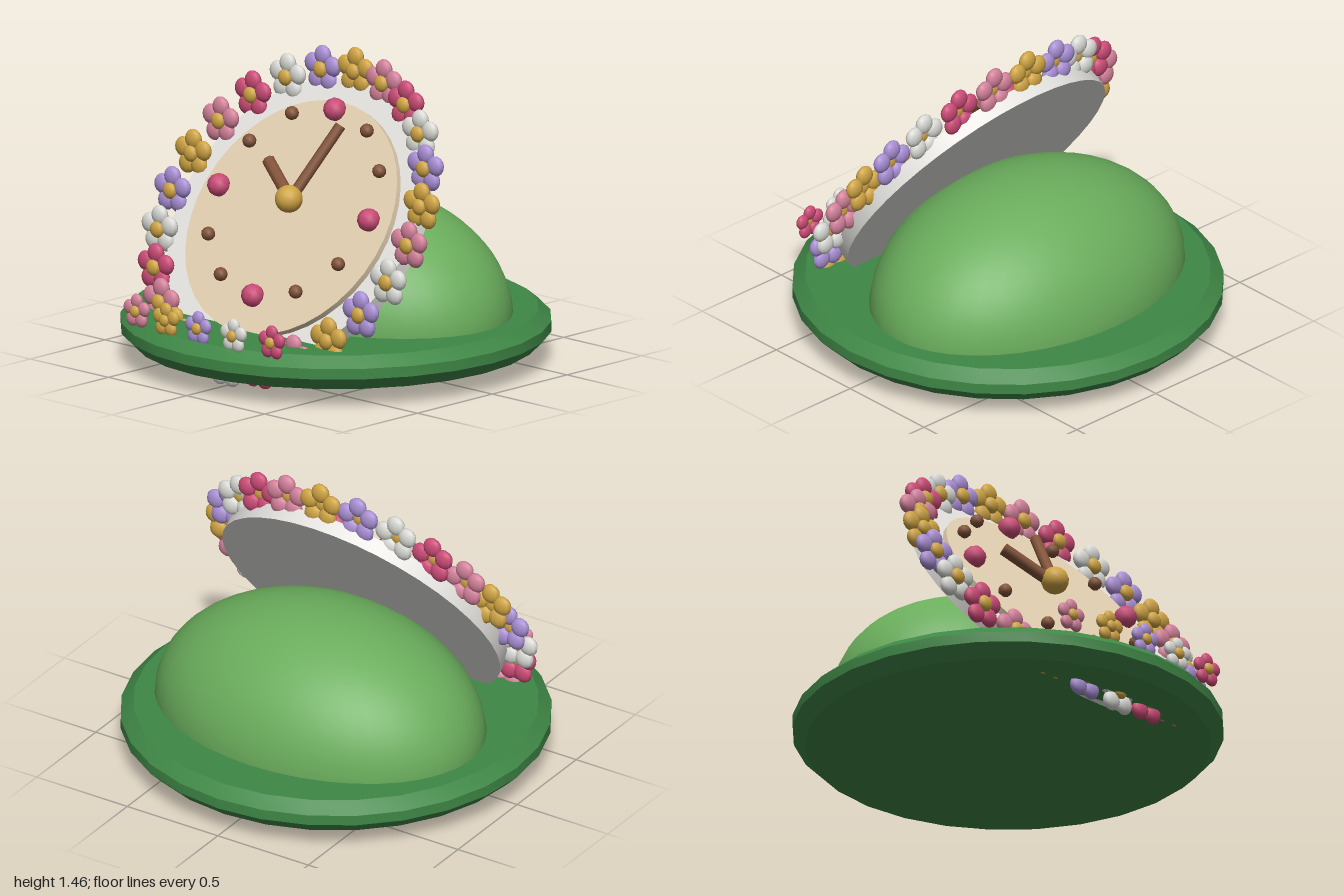
import * as THREE from 'three';
import { mergeGeometries, toCreasedNormals } from 'three/addons/utils/BufferGeometryUtils.js';

const material = (name, color) => {
  const m = new THREE.MeshStandardMaterial({ color });
  m.name = name;
  return m;
};

export function createModel() {
  const mats = {
    leaf: material('leaf green', 0x3f8746),
    moss: material('moss green', 0x6aad5c),
    rim: material('rim white', 0xe3e2de),
    cream: material('cream', 0xe2cfb0),
    brown: material('brown', 0x835338),
    rose: material('rose', 0xcb4b77),
    pink: material('pale pink', 0xd3819a),
    lilac: material('lilac', 0xa98fd4),
    gold: material('gold', 0xcfa443),
    white: material('petal white', 0xd9d9d5),
  };
  const model = new THREE.Group();
  model.name = 'flowerClock';

  const add = (parent, name, geometry, mat, x = 0, y = 0, z = 0) => {
    const mesh = new THREE.Mesh(geometry, mat);
    mesh.name = name;
    mesh.position.set(x, y, z);
    parent.add(mesh);
    return mesh;
  };

  // Bevelled round base
  const profile = [[0, 0.1], [0.94, 0.1], [1, 0.16], [1, 0.21], [0.94, 0.26], [0, 0.26]]
    .map(([r, y]) => new THREE.Vector2(r, y));
  add(model, 'base', toCreasedNormals(new THREE.LatheGeometry(profile, 28), 0.55), mats.leaf);

  // Oval half dome behind the dial
  const dome = new THREE.SphereGeometry(1, 40, 16, 0, Math.PI * 2, 0, Math.PI / 2);
  dome.scale(0.83, 0.56, 0.6);
  add(model, 'hill', dome, mats.moss, 0, 0.25, -0.13);

  // Tilted clock: local +z is the dial's normal
  const TILT = 0.61;
  const clock = new THREE.Group();
  clock.name = 'clock';
  clock.position.set(0, 0.737, 0.3);
  clock.rotation.x = -TILT;
  model.add(clock);

  const disc = (r, depth) => new THREE.CylinderGeometry(r, r, depth, 40).rotateX(Math.PI / 2);
  add(clock, 'rimDisc', disc(0.72, 0.075), mats.rim, 0, 0, -0.0675);
  add(clock, 'dial', disc(0.595, 0.04), mats.cream, 0, 0, -0.02);

  // Hour markers, larger at the quarters
  const HUB_Y = 0.066;
  const bigMarker = new THREE.SphereGeometry(0.055, 8, 6);
  const smallMarker = new THREE.SphereGeometry(0.033, 8, 6);
  for (let h = 0; h < 12; h++) {
    const a = h * Math.PI / 6;
    const quarter = h % 3 === 0;
    add(clock, quarter ? 'quarterMarker' : 'hourMarker', quarter ? bigMarker : smallMarker,
      quarter ? mats.rose : mats.brown, 0.48 * Math.sin(a), HUB_Y + 0.48 * Math.cos(a), 0.025);
  }

  // Hands start at the hub and turn clockwise
  const hand = (name, length, radius, angle, z) => {
    const geometry = new THREE.CylinderGeometry(radius, radius, length, 8).translate(0, length / 2, 0);
    add(clock, name, geometry, mats.brown, 0, HUB_Y, z).rotation.z = -angle;
  };
  hand('hourHand', 0.28, 0.031, -0.96, 0.05);
  hand('minuteHand', 0.415, 0.026, 0.25, 0.055);
  add(clock, 'hub', new THREE.SphereGeometry(0.065, 16, 12), mats.gold, 0, HUB_Y, 0.065);

  // Five-petalled flower, facing straight forward
  const petals = mergeGeometries(Array.from({ length: 5 }, (_, i) => {
    const a = Math.PI / 2 + i * Math.PI * 2 / 5;
    return new THREE.SphereGeometry(0.048, 10, 8)
      .scale(1, 1, 0.58)
      .translate(0.066 * Math.cos(a), 0.066 * Math.sin(a), 0);
  }));
  const heart = new THREE.SphereGeometry(0.04, 10, 8).scale(1, 1, 0.65);
  const flower = (mat, x, y, z, scale = 1) => {
    const g = new THREE.Group();
    g.name = 'flower';
    add(g, 'petals', petals, mat);
    add(g, 'flowerCentre', heart, mats.gold, 0, 0, 0.018);
    g.position.set(x, y, z);
    g.scale.setScalar(scale);
    model.add(g);
  };

  // Wreath around the rim
  const cycle = [mats.pink, mats.gold, mats.lilac, mats.white, mats.rose];
  for (let i = 0; i < 24; i++) {
    const a = i * Math.PI / 12;
    const up = 0.757 * Math.sin(a);
    flower(cycle[i % 5], 0.757 * Math.cos(a), 0.736 + up * Math.cos(TILT), 0.302 - up * Math.sin(TILT));
  }

  // Row of small flowers along the front of the base
  cycle.forEach((mat, i) => {
    const k = i - 2;
    flower(mat, k * 0.216, 0.32, 0.92 - 0.01 * k * k, 0.73);
  });

  return model;
}
